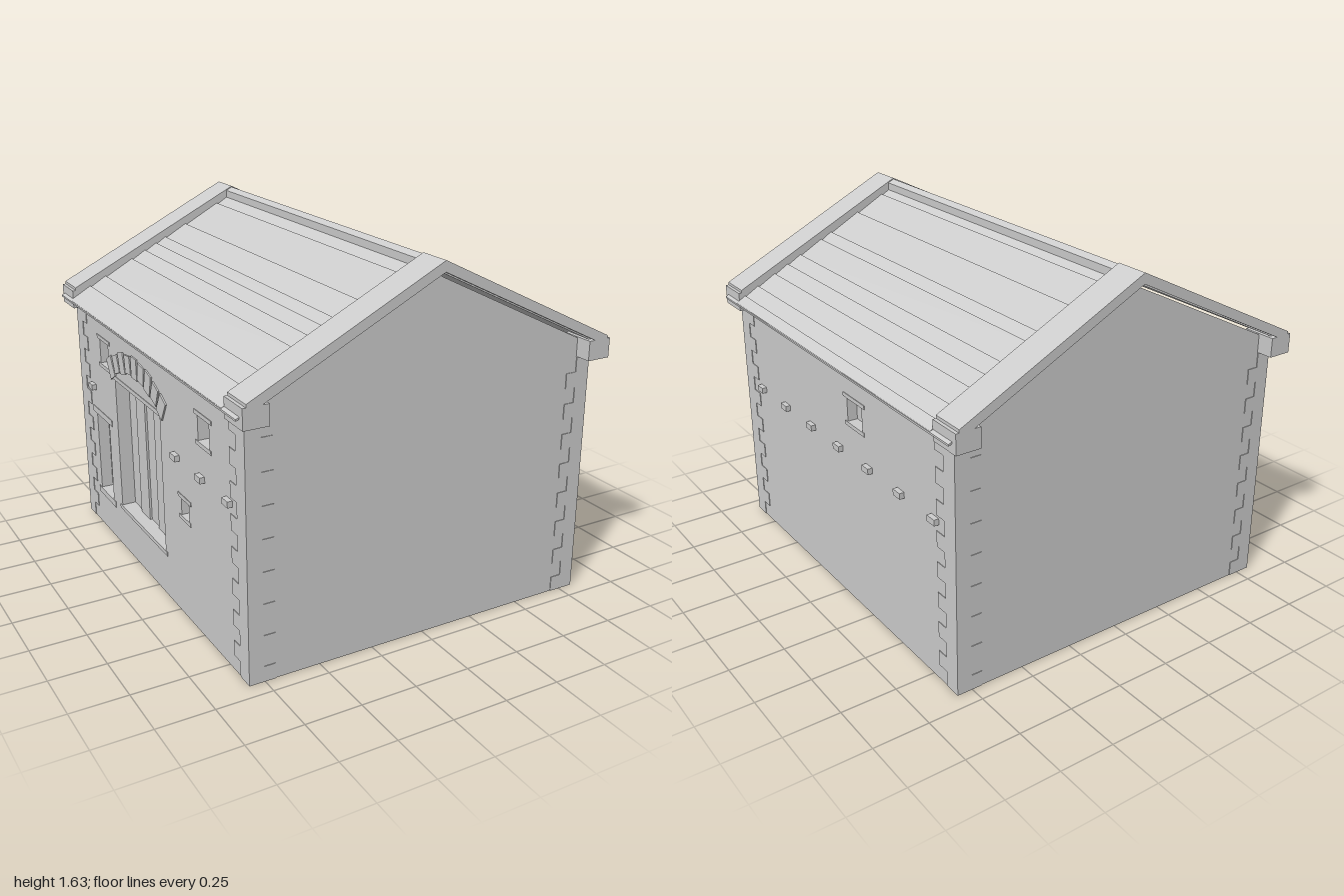
import * as THREE from 'three';

const stone = new THREE.MeshStandardMaterial({ name: 'paleStone', color: 0xcccccc, side: THREE.DoubleSide });

const W = 0.817, D = 0.925;        // half width and half depth of the walls
const SLOPE = 0.497;               // roof fall per unit of x
const WALL_APEX = 1.565, ROOF_APEX = 1.585;
const PROUD = 0.003;

function add(parent, name, geometry) {
  const mesh = new THREE.Mesh(geometry, stone);
  mesh.name = name;
  parent.add(mesh);
  return mesh;
}

function group(parent, name) {
  const g = new THREE.Group();
  g.name = name;
  parent.add(g);
  return g;
}

// Box given by its limits on each axis
function box(parent, name, x0, x1, y0, y1, z0, z1) {
  const mesh = add(parent, name, new THREE.BoxGeometry(Math.abs(x1 - x0), y1 - y0, z1 - z0));
  mesh.position.set((x0 + x1) / 2, (y0 + y1) / 2, (z0 + z1) / 2);
  return mesh;
}

// Polygon in x and y, extruded from z0 to z1
function prism(parent, name, points, z0, z1) {
  const shape = new THREE.Shape(points.map(([x, y]) => new THREE.Vector2(x, y)));
  const geo = new THREE.ExtrudeGeometry(shape, { depth: z1 - z0, bevelEnabled: false });
  return add(parent, name, geo.translate(0, 0, z0));
}

// Inverted V slab following the roof pitch
function chevron(parent, name, top, half, thick, z0, z1) {
  const drop = half * SLOPE;
  return prism(parent, name, [
    [0, top], [-half, top - drop], [-half, top - drop - thick],
    [0, top - thick], [half, top - drop - thick], [half, top - drop],
  ], z0, z1);
}

// Long wall with openings, each { z0, z1, y0, y1 }
function sideWall(parent, s, openings) {
  const top = WALL_APEX - W * SLOPE;
  const shape = new THREE.Shape([[-D, 0], [D, 0], [D, top], [-D, top]].map(p => new THREE.Vector2(...p)));
  for (const o of openings) {
    shape.holes.push(new THREE.Path([[o.z0, o.y0], [o.z0, o.y1], [o.z1, o.y1], [o.z1, o.y0]]
      .map(p => new THREE.Vector2(...p))));
  }
  const geo = new THREE.ShapeGeometry(shape).rotateY(-Math.PI / 2);
  add(parent, 'sideWall', geo).position.x = s * W;
}

// Stone lining, back panel and planks of one opening
function recess(parent, s, o) {
  const g = group(parent, o.name);
  const { z0, z1, y0, y1, depth, planks, rim } = o;
  const at = d => s * (W - d);
  const out = -PROUD;
  box(g, 'lintel', at(out), at(depth), y1, y1 + rim, z0 - rim * 1.5, z1 + rim * 1.5);
  box(g, 'sill', at(out), at(depth), y0 - rim, y0, z0 - rim, z1 + rim);
  box(g, 'jamb', at(0.001), at(depth), y0, y1, z0 - rim, z0);
  box(g, 'jamb', at(0.001), at(depth), y0, y1, z1, z1 + rim);
  box(g, 'backPanel', at(depth), at(depth + 0.01), y0 - rim, y1 + rim, z0 - rim, z1 + rim);
  const step = (z1 - z0) / planks;
  for (let i = 0; i < planks; i++) {
    const lift = i % 2 ? 0.014 : 0.004;
    box(g, 'plank', at(depth), at(depth - lift), y0, y1, z0 + i * step, z0 + (i + 1) * step);
  }
}

export function createModel() {
  const model = new THREE.Group();
  model.name = 'stoneBarn';

  // Openings: one small window on the right side, doors and windows on the other
  const win = (z0, z1, y0, y1) => ({ name: 'smallWindow', z0, z1, y0, y1, depth: 0.06, planks: 2, rim: 0.018 });
  const rightOpenings = [win(-0.23, -0.105, 0.89, 1.0)];
  const door = { name: 'largeDoor', z0: -0.44, z1: 0.1, y0: 0.22, y1: 0.86, depth: 0.07, planks: 5, rim: 0.02 };
  const leftOpenings = [
    door,
    { name: 'narrowDoor', z0: -0.73, z1: -0.56, y0: 0.2, y1: 0.6, depth: 0.06, planks: 3, rim: 0.03 },
    win(-0.625, -0.515, 0.89, 1.01),
    win(0.5, 0.61, 0.89, 1.0),
    win(0.3, 0.38, 0.48, 0.56),
  ];

  const walls = group(model, 'walls');
  for (const [s, openings] of [[1, rightOpenings], [-1, leftOpenings]]) {
    sideWall(walls, s, openings);
    openings.forEach(o => recess(walls, s, o));
  }

  // Gable walls
  const eave = WALL_APEX - W * SLOPE;
  const gable = new THREE.Shape([[-W, 0], [W, 0], [W, eave], [0, WALL_APEX], [-W, eave]]
    .map(p => new THREE.Vector2(...p)));
  for (const s of [1, -1]) {
    const wall = add(walls, 'gableWall', new THREE.ShapeGeometry(gable));
    wall.position.z = s * D;
    if (s < 0) wall.rotation.y = Math.PI;
  }

  // Staggered corner stones
  const quoins = group(model, 'cornerStones');
  const courses = 16, rise = 1.11 / courses;
  for (const sx of [1, -1]) for (const sz of [1, -1]) for (let i = 0; i < courses; i++) {
    const [lx, lz] = i % 2 ? [0.065, 0.13] : [0.115, 0.075];
    const xs = [sx * (W - lx), sx * (W + PROUD)];
    const zs = [sz * (D - lz), sz * (D + PROUD)].sort((a, b) => a - b);
    box(quoins, 'cornerStone', xs[0], xs[1], i * rise, (i + 1) * rise, zs[0], zs[1]);
  }

  // Row of projecting stones along both long walls
  const corbels = group(model, 'projectingStones');
  for (const s of [1, -1]) for (let i = -3; i <= 3; i++) {
    const z = i * 0.254 - s * 0.02;
    if (s < 0 && z > -0.6 && z < 0.2) continue;
    box(corbels, 'projectingStone', s * (W - 0.06), s * (W + 0.022), 0.725, 0.752, z - 0.026, z + 0.026);
  }

  // Segmental arch of stones above the large door
  const arch = group(model, 'doorArch');
  const radius = 0.595, centreZ = (door.z0 + door.z1) / 2, centreY = 0.4;
  for (let i = -4; i <= 4; i++) {
    const a = i * 0.133;
    const voussoir = add(arch, 'archStone', new THREE.BoxGeometry(0.07, i % 2 ? 0.085 : 0.1, 0.066));
    voussoir.position.set(-W + 0.028, centreY + radius * Math.cos(a), centreZ + radius * Math.sin(a));
    voussoir.rotation.x = a;
  }

  // Roof sheet with stepped courses and a ridge cap
  const roof = group(model, 'roof');
  chevron(roof, 'roofSheet', ROOF_APEX, 0.875, 0.008, -0.975, 0.975);
  const edges = {
    '-1': [0, 0.085, 0.26, 0.37, 0.42, 0.48, 0.55, 0.69, 0.77, 0.872],
    '1': [0, 0.07, 0.21, 0.36, 0.415, 0.53, 0.6, 0.67, 0.76, 0.83, 0.872],
  };
  const roofY = x => ROOF_APEX - x * SLOPE;
  for (const s of [1, -1]) {
    const e = edges[s];
    for (let i = 0; i < e.length - 1; i++) {
      const a = e[i], b = e[i + 1];
      prism(roof, 'roofCourse', [
        [s * a, roofY(a) + 0.009], [s * b, roofY(b) + 0.001],
        [s * b, roofY(b) - 0.004], [s * a, roofY(a) - 0.004],
      ], -0.85, 0.85);
    }
  }
  chevron(roof, 'ridgeCap', 1.625, 0.03, 0.04, -0.85, 0.85);

  // Raised copings and their supporting blocks at both gables
  const copings = group(model, 'gableCopings');
  for (const [z0, z1] of [[0.848, 1], [-1, -0.848]]) {
    chevron(copings, 'coping', 1.63, 0.845, 0.046, z0, z1);
    for (const s of [1, -1]) box(copings, 'eaveBlock', s * 0.75, s * 0.86, 1.11, 1.197, z0, z1);
  }
  return model;
}
